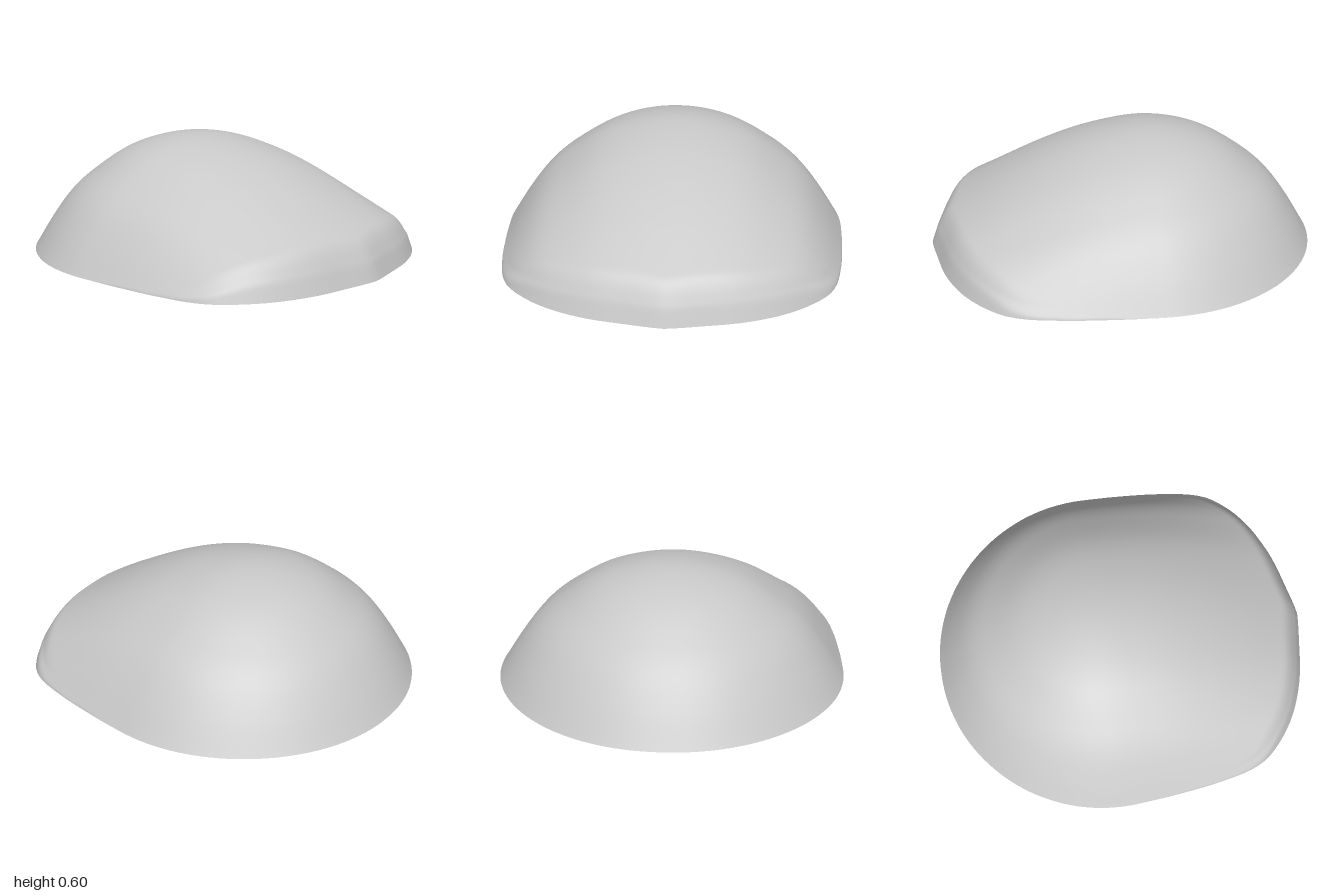
import * as THREE from 'three';
import { mergeVertices, toCreasedNormals } from 'three/addons/utils/BufferGeometryUtils.js';

const PEAK_Z = -0.15;       // z of the highest point, pole of the dome
const PEAK_Y = 0.595;
const INNER_SCALE = 0.885;  // cavity outline relative to the outer outline
const INNER_HEIGHT = 0.84;  // cavity height relative to the outer height
const SEGMENTS = 160;
const RINGS = 56;

// Smooth curve through [position, value] pairs
function smoothCurve(pts) {
  const slope = pts.map((p, i) => {
    const a = pts[Math.max(i - 1, 0)], b = pts[Math.min(i + 1, pts.length - 1)];
    return (b[1] - a[1]) / (b[0] - a[0]);
  });
  return (x) => {
    let i = 0;
    while (i < pts.length - 2 && x > pts[i + 1][0]) i++;
    const [x0, y0] = pts[i], [x1, y1] = pts[i + 1];
    const d = x1 - x0, t = (x - x0) / d, t2 = t * t, t3 = t2 * t;
    return y0 * (2 * t3 - 3 * t2 + 1) + slope[i] * d * (t3 - 2 * t2 + t)
      + y1 * (3 * t2 - 2 * t3) + slope[i + 1] * d * (t3 - t2);
  };
}

// Half outline of the base (x, z), from the blunt point in front to the round back
const outline = [
  [0, 1], [0.18, 0.97], [0.39, 0.922], [0.59, 0.83], [0.71, 0.735], [0.78, 0.655],
  [0.82, 0.57], [0.857, 0.4], [0.88, 0.21], [0.894, 0.03], [0.9, -0.12], [0.85, -0.4],
  [0.78, -0.55], [0.566, -0.8], [0.3, -0.95], [0, -1],
];
const radiusAt = smoothCurve(outline.map(([x, z]) =>
  [Math.atan2(x, z - PEAK_Z), Math.hypot(x, z - PEAK_Z)]));

// Arched section from the ridge (0) to the edge (1)
const arch = smoothCurve([
  [-0.22, 0.962], [0, 1], [0.22, 0.962], [0.44, 0.85], [0.66, 0.635],
  [0.78, 0.475], [0.89, 0.26], [1, 0],
]);
// Ridge height and arch half-width along z, in front of the peak
const ridge = smoothCurve([
  [-0.3, 0.58], [PEAK_Z, PEAK_Y], [0, 0.581], [0.2, 0.535], [0.4, 0.46],
  [0.6, 0.362], [0.8, 0.25], [1, 0.135],
]);
const archWidth = smoothCurve([
  [-0.3, 0.9], [PEAK_Z, 0.9], [0.1, 0.891], [0.3, 0.874], [0.5, 0.847],
  [0.65, 0.82], [0.8, 0.79], [1, 0.74],
]);

// Height at angle a (0 = front, PI = back) and fraction t of the radius
function heightAt(a, t) {
  if (t >= 1) return 0;
  if (a >= Math.PI / 2) return PEAK_Y * arch(t);
  const r = radiusAt(a);
  const z = PEAK_Z + t * r * Math.cos(a);
  const roof = ridge(z) * arch(Math.min(t * r * Math.sin(a) / archWidth(z), 1));
  // Steep lip along the front edge, rounded into the roof
  const lip = 2.8 * (1 - t) * r;
  const round = Math.max(Math.min(0.12, lip) * THREE.MathUtils.smoothstep(z, 0.1, 0.7), 1e-4);
  const overlap = Math.max(round - Math.abs(roof - lip), 0);
  return Math.max(Math.min(roof, lip) - overlap * overlap / (4 * round), 0);
}

// Height in the middle of the shell's thickness above a point of the base
function midShell(x, z) {
  const a = Math.atan2(Math.abs(x), z - PEAK_Z);
  const t = Math.hypot(x, z - PEAK_Z) / radiusAt(a);
  return (heightAt(a, t) + INNER_HEIGHT * heightAt(a, t / INNER_SCALE)) / 2;
}

// Curved skin, facing out or in
function skin(scale, heightScale, inward) {
  const pos = [], index = [];
  for (let i = 0; i <= SEGMENTS; i++) {
    const angle = (i / SEGMENTS) * Math.PI * 2;
    const a = Math.min(angle, Math.PI * 2 - angle);
    for (let j = 0; j <= RINGS; j++) {
      const t = Math.sin((j / RINGS) * Math.PI / 2);
      const r = t * scale * radiusAt(a);
      pos.push(r * Math.sin(angle), heightScale * heightAt(a, t), PEAK_Z + r * Math.cos(angle));
      if (i === SEGMENTS || j === RINGS) continue;
      const p = i * (RINGS + 1) + j, q = p + RINGS + 1;
      const faces = j ? [[p, p + 1, q], [q, p + 1, q + 1]] : [[q, p + 1, q + 1]];
      for (const [u, v, w] of faces) index.push(...(inward ? [u, w, v] : [u, v, w]));
    }
  }
  let geo = new THREE.BufferGeometry();
  geo.setAttribute('position', new THREE.Float32BufferAttribute(pos, 3));
  geo.setIndex(index);
  geo = mergeVertices(geo, 1e-5);
  geo.computeVertexNormals();
  return geo;
}

function outlinePoints(scale) {
  return Array.from({ length: SEGMENTS }, (_, i) => {
    const angle = (i / SEGMENTS) * Math.PI * 2;
    const r = scale * radiusAt(Math.min(angle, Math.PI * 2 - angle));
    return new THREE.Vector2(r * Math.sin(angle), PEAK_Z + r * Math.cos(angle));
  });
}

// Post standing on the base plane (shape in x, z), its top fitted into the shell
function post(shape, holeX, holeZ) {
  shape.holes.push(new THREE.Path().absarc(holeX, holeZ, 0.077, 0, Math.PI * 2, true));
  const geo = new THREE.ExtrudeGeometry(shape, { depth: 1, bevelEnabled: false, curveSegments: 40 });
  geo.rotateX(Math.PI / 2).translate(0, 1, 0);
  const p = geo.attributes.position;
  for (let i = 0; i < p.count; i++) {
    p.setY(i, p.getY(i) > 0.5 ? midShell(p.getX(i), p.getZ(i)) : 0);
  }
  return toCreasedNormals(geo, 0.6);
}

export function createModel() {
  const model = new THREE.Group();
  model.name = 'hollowCover';
  const grey = new THREE.MeshStandardMaterial({ color: 0xc8c8c8 });
  grey.name = 'plain grey';
  const add = (name, geo) => {
    const mesh = new THREE.Mesh(geo, grey);
    mesh.name = name;
    model.add(mesh);
  };

  // Shell: outside, cavity and flat rim between them
  add('outerShell', skin(1, 1, false));
  add('innerShell', skin(INNER_SCALE, INNER_HEIGHT, true));
  const rim = new THREE.Shape(outlinePoints(1));
  rim.holes.push(new THREE.Path(outlinePoints(INNER_SCALE)));
  add('rim', new THREE.ShapeGeometry(rim).rotateX(Math.PI / 2));

  // Round screw posts at the sides
  for (const [name, x] of [['leftScrewPost', 0.735], ['rightScrewPost', -0.735]]) {
    add(name, post(new THREE.Shape().absarc(x, -0.04, 0.16, 0, Math.PI * 2), x, -0.04));
  }

  // Square screw block at the back
  const block = new THREE.Shape([[-0.155, -0.615], [-0.155, -0.9], [0.155, -0.9], [0.155, -0.615]]
    .map(([x, z]) => new THREE.Vector2(x, z)));
  add('backScrewBlock', post(block, 0, -0.72));

  return model;
}
